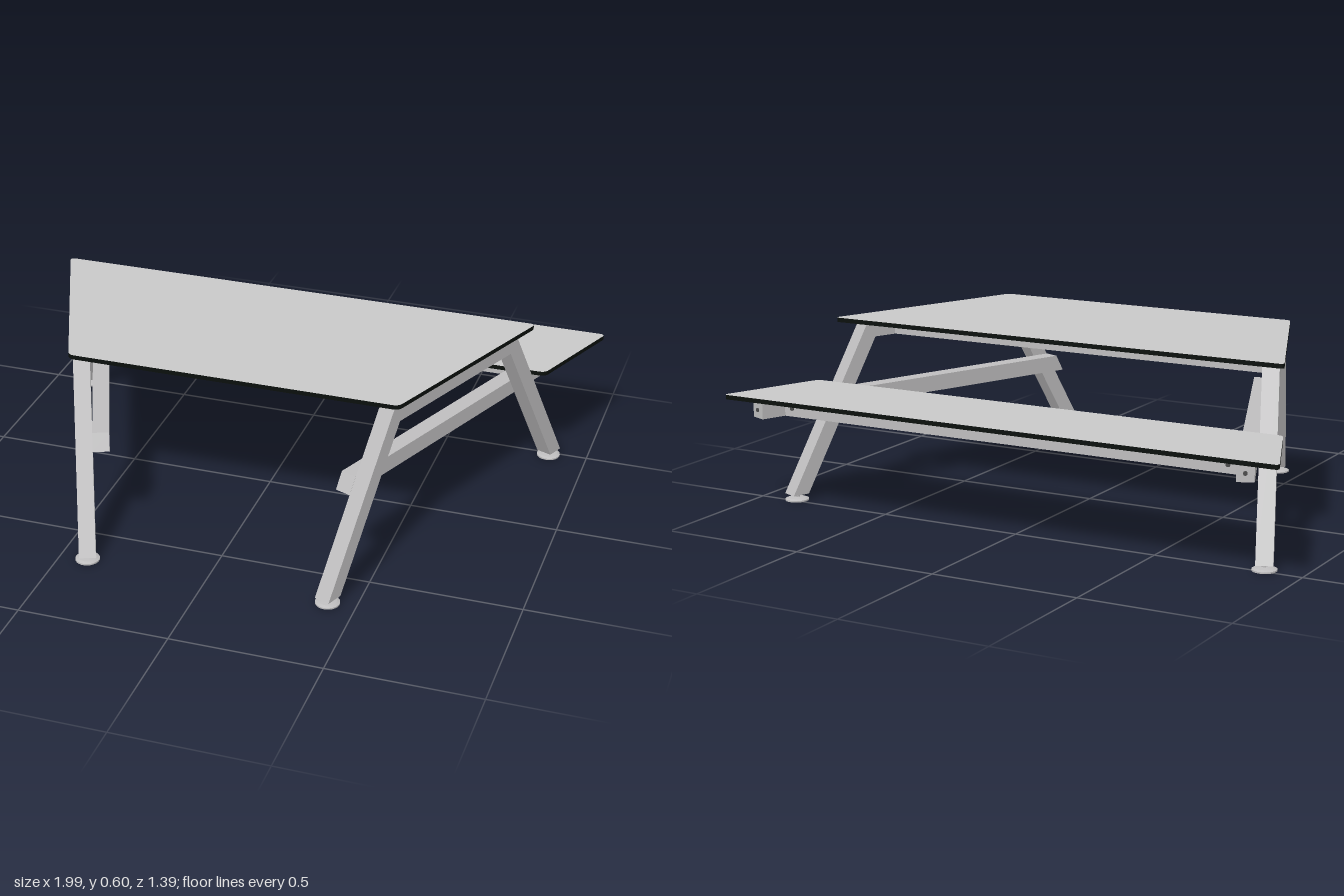
import * as THREE from 'three';

const panelGrey = new THREE.MeshStandardMaterial({ color: 0xc8c8c8 });
panelGrey.name = 'panelGrey';
const steel = new THREE.MeshStandardMaterial({ color: 0xbebdbe });
steel.name = 'steel';
const edgeBlack = new THREE.MeshStandardMaterial({ color: 0x0a0f0c });
edgeBlack.name = 'edgeBlack';
const boltGrey = new THREE.MeshStandardMaterial({ color: 0x4a4a4a });
boltGrey.name = 'boltGrey';

const T = 0.055;                               // square tube size
const TILT = THREE.MathUtils.degToRad(22);     // splay of the side frames in plan
const FX = 0.6375, FZ = 0.085;                 // middle of a side frame

function mesh(name, geometry, material, parent) {
  const m = new THREE.Mesh(geometry, material);
  m.name = name;
  parent.add(m);
  return m;
}

// Closed outline, with optional rounded corners
function outline(points, r = 0) {
  const shape = new THREE.Shape();
  const v = points.map(([x, y]) => new THREE.Vector2(x, y));
  if (!r) return shape.setFromPoints(v);
  v.forEach((p, i) => {
    const prev = v[(i + v.length - 1) % v.length], next = v[(i + 1) % v.length];
    const a = p.clone().add(prev.clone().sub(p).setLength(r));
    const b = p.clone().add(next.clone().sub(p).setLength(r));
    if (i) shape.lineTo(a.x, a.y); else shape.moveTo(a.x, a.y);
    shape.quadraticCurveTo(p.x, p.y, b.x, b.y);
  });
  shape.closePath();
  return shape;
}

// Flat trapezoid lying in plan: half widths at the back and front edges
function trapezoid(zBack, halfBack, zFront, halfFront, y, height, r) {
  const shape = outline([[-halfFront, -zFront], [halfFront, -zFront],
    [halfBack, -zBack], [-halfBack, -zBack]], r);
  return new THREE.ExtrudeGeometry(shape, { depth: height, bevelEnabled: false, curveSegments: 5 })
    .rotateX(-Math.PI / 2).translate(0, y, 0);
}

// Upright profile of tube thickness, centred on local z = offset
function tubeProfile(points, offset) {
  return new THREE.ExtrudeGeometry(outline(points), { depth: T, bevelEnabled: false })
    .translate(0, 0, offset - T / 2);
}

// Cross rail with ends mitred against the side tubes
function rail(name, z, y, inset, parent) {
  const half = (zz) => FX + (FZ - zz) * Math.tan(TILT) - (inset + T / 2) / Math.cos(TILT);
  const z0 = z - T / 2, z1 = z + T / 2;
  mesh(name, trapezoid(z0, half(z0), z1, half(z1), y, T), steel, parent);
  // Bolts on the back face near both ends
  for (const side of [-1, 1]) {
    const g = new THREE.CylinderGeometry(0.007, 0.007, 0.006, 12).rotateX(Math.PI / 2);
    mesh('railBolt', g, boltGrey, parent).position.set(side * (half(z0) - 0.03), y + T / 2, z0 - 0.002);
  }
}

function sideFrame(side) {
  const frame = new THREE.Group();
  frame.name = side > 0 ? 'leftFrame' : 'rightFrame';
  frame.position.set(side * FX, 0, FZ);
  frame.rotation.y = -Math.PI / 2 - side * TILT;

  // Two sloping legs joined by a top beam
  mesh('legsAndTopBeam', tubeProfile([
    [0.585, 0.022], [0.645, 0.022], [0.33, 0.585], [-0.33, 0.585],
    [-0.645, 0.022], [-0.585, 0.022], [-0.3, 0.53], [0.3, 0.53],
  ], 0), steel, frame);

  // Seat beam fixed to the inner side of the legs
  mesh('seatBeam', tubeProfile([
    [-0.79, 0.32], [0.478, 0.32], [0.449, 0.375], [-0.79, 0.375],
  ], side * T), steel, frame);
  const cap = new THREE.CylinderGeometry(0.007, 0.007, 0.006, 12).rotateZ(Math.PI / 2);
  mesh('beamEndBolt', cap, boltGrey, frame).position.set(-0.791, 0.3475, side * T);

  // Levelling feet
  const foot = [[0, 0], [0.04, 0], [0.04, 0.005], [0.03, 0.009], [0.009, 0.012], [0.009, 0.024], [0, 0.024]]
    .map(([x, y]) => new THREE.Vector2(x, y));
  for (const s of [-0.615, 0.615]) {
    const g = new THREE.LatheGeometry(foot, 24).toNonIndexed();
    g.computeVertexNormals();
    mesh('foot', g, steel, frame).position.x = s;
  }
  return frame;
}

export function createModel() {
  const model = new THREE.Group();
  model.name = 'picnicTable';

  // Panels with dark edges
  mesh('tableTop', trapezoid(-0.285, 0.834, 0.405, 0.553, 0.585, 0.015, 0.02), [panelGrey, edgeBlack], model);
  mesh('seat', trapezoid(-0.695, 1.003, -0.35, 0.863, 0.377, 0.015, 0.02), [panelGrey, edgeBlack], model);

  for (const side of [-1, 1]) model.add(sideFrame(side));

  // Rails under the table top and the seat
  for (const z of [0.27, -0.1]) rail('tableRail', z, 0.53, 0, model);
  for (const z of [-0.455, -0.57]) rail('seatRail', z, 0.32, T, model);

  // Round fixings under the seat
  for (const z of [-0.632, -0.39]) {
    for (const x of [-0.72, 0, 0.72]) {
      const g = new THREE.CylinderGeometry(0.02, 0.014, 0.008, 16);
      mesh('seatFixing', g, boltGrey, model).position.set(x, 0.373, z);
    }
  }
  return model;
}
